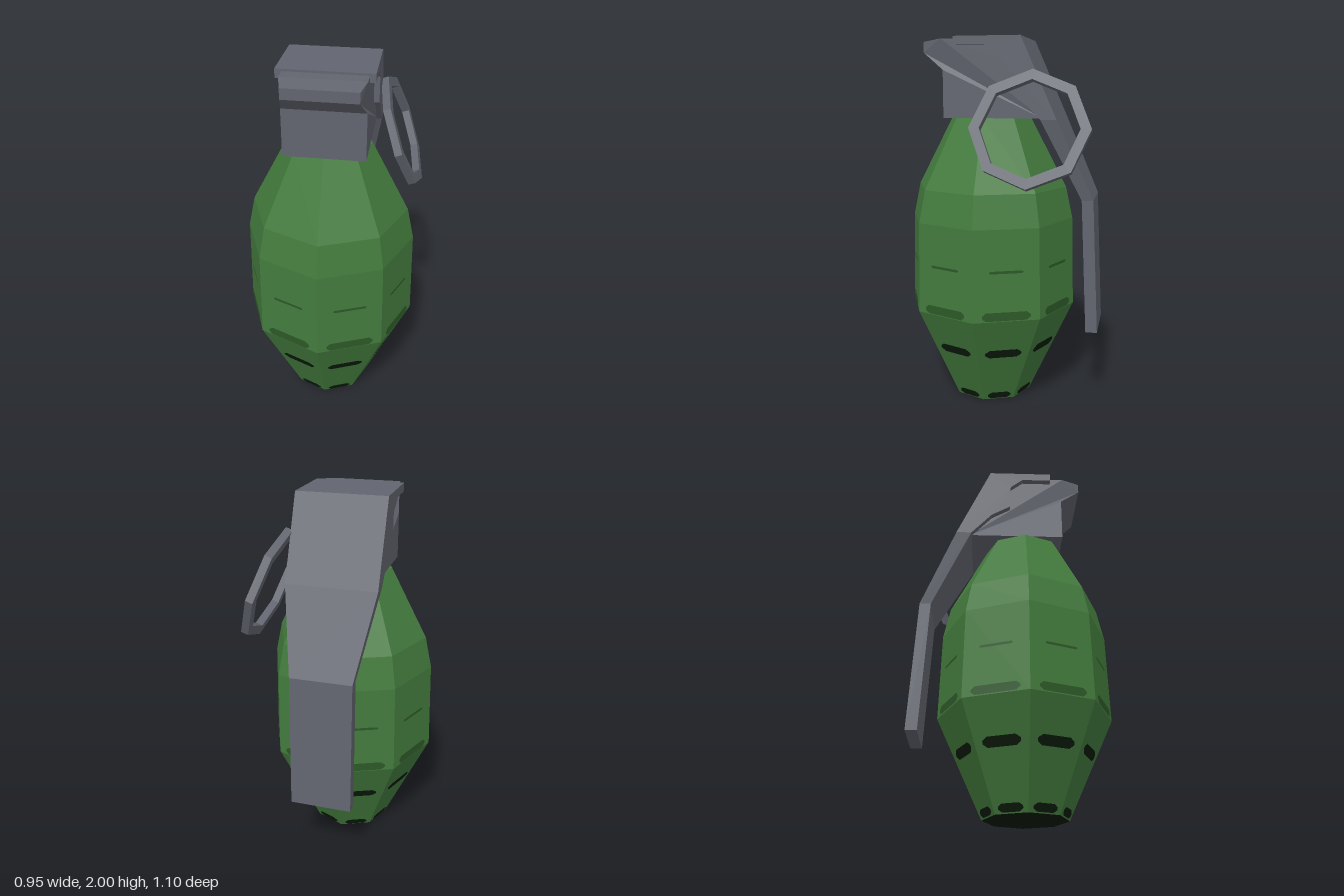
import * as THREE from 'three';

const mat = (name, color) => {
  const m = new THREE.MeshStandardMaterial({ color });
  m.name = name;
  return m;
};

// polygon from [x, y] pairs
const poly = (pts) => new THREE.Shape(pts.map(([x, y]) => new THREE.Vector2(x, y)));

// side profile in [z, y], extruded across x with a half width given by rule(y, z)
function sideExtrude(pts, rule) {
  const geo = new THREE.ExtrudeGeometry(poly(pts.map(([z, y]) => [-z, y])), { depth: 2, bevelEnabled: false });
  geo.translate(0, 0, -1);
  geo.rotateY(Math.PI / 2);
  const p = geo.attributes.position;
  for (let i = 0; i < p.count; i++) {
    // rotation sends the profile's -z axis back onto z
    p.setX(i, Math.sign(p.getX(i)) * rule(p.getY(i), p.getZ(i)));
  }
  geo.computeVertexNormals();
  return geo;
}

export function createModel() {
  const group = new THREE.Group();
  const green = mat('bodyGreen', 0x437b3d);
  const darkGreen = mat('grooveGreen', 0x2c5827);
  const black = mat('deepGrooveGreen', 0x0c1a0a);
  const metal = mat('gunMetal', 0x62656f);

  const add = (name, geo, material, parent = group) => {
    const mesh = new THREE.Mesh(geo, material);
    mesh.name = name;
    parent.add(mesh);
    return mesh;
  };

  // eight-sided body
  const body = new THREE.Group();
  body.name = 'body';
  body.position.set(-0.005, 0, 0.075);
  group.add(body);
  const profile = [[0.225, 0], [0.472, 0.535], [0.46, 1.025], [0.422, 1.2], [0.222, 1.58], [0, 1.6]];
  const shell = new THREE.LatheGeometry(profile.map(([r, y]) => new THREE.Vector2(r, y)), 8).toNonIndexed();
  shell.computeVertexNormals();
  add('bodyShell', shell, green, body);
  add('bodyBase', new THREE.CircleGeometry(0.225, 8).rotateX(Math.PI / 2), black, body);

  // rows of groove marks lying on the facets
  const rows = [
    { y: 0.8, w: 0.18, h: 0.014, m: darkGreen },
    { y: 0.563, w: 0.26, h: 0.046, m: darkGreen },
    { y: 0.322, w: 0.2, h: 0.055, m: black },
    { y: 0.026, w: 0.13, h: 0.044, m: black },
  ];
  const apothem = Math.cos(Math.PI / 8);
  for (const { y, w, h, m } of rows) {
    const [[r0, y0], [r1, y1]] = y < 0.535 ? profile.slice(0, 2) : profile.slice(1, 3);
    const slope = (r1 - r0) / (y1 - y0);
    const a = w / 2, b = h / 2, c = a - h * 0.45;
    const outline = [[a, -b * 0.3], [a, b * 0.3], [c, b], [-c, b], [-a, b * 0.3], [-a, -b * 0.3], [-c, -b], [c, -b]];
    for (let k = 0; k < 8; k++) {
      const geo = new THREE.ShapeGeometry(poly(outline));
      geo.rotateX(Math.atan(slope * apothem));
      geo.translate(0, y, (r0 + slope * (y - y0)) * apothem + 0.003);
      geo.rotateY(Math.PI / 8 + (k * Math.PI) / 4);
      add('grooveMark', geo, m, body);
    }
  }

  // fuze block with the narrowing front lip
  const block = sideExtrude(
    [[0.29, 1.58], [0.29, 1.83], [0.4, 1.92], [0.4, 1.975], [0.3, 1.99], [-0.1, 1.985], [-0.13, 1.85], [-0.245, 1.58]],
    (y, z) => (z > 0.35 ? 0.184 : 0.208)
  );
  add('fuzeBlock', block, metal).position.x = -0.002;

  // lever: wide head with side flanges, then the tapering handle
  const head = sideExtrude(
    [[0.225, 2], [0.225, 1.955], [0.06, 1.955], [-0.01, 1.9], [-0.015, 1.76], [-0.12, 1.7], [-0.235, 1.575], [-0.32, 1.575], [-0.13, 2]],
    () => 0.24
  );
  add('leverHead', head, metal).position.x = -0.005;
  const taper = (y) => 0.165 + 0.075 * Math.max(0, (y - 1.15) / 0.425);
  const handle = new THREE.Group();
  handle.name = 'leverHandle';
  handle.position.x = -0.005;
  group.add(handle);
  add('leverSlope', sideExtrude([[-0.235, 1.575], [-0.45, 1.15], [-0.512, 1.15], [-0.32, 1.575]], taper), metal, handle);
  add('leverGrip', sideExtrude([[-0.45, 1.15], [-0.485, 0.42], [-0.548, 0.42], [-0.512, 1.15]], taper), metal, handle);

  // tilted octagonal pull ring
  const octagon = (r) => Array.from({ length: 8 }, (_, i) => [r * Math.cos((i * Math.PI) / 4), r * Math.sin((i * Math.PI) / 4)]);
  const ringShape = poly(octagon(0.312));
  ringShape.holes.push(poly(octagon(0.257)));
  const ringGeo = new THREE.ExtrudeGeometry(ringShape, { depth: 0.04, bevelEnabled: false });
  ringGeo.translate(0, 0, -0.02);
  ringGeo.rotateY(Math.PI / 2);
  const ring = add('pullRing', ringGeo, metal);
  ring.position.set(0.352, 1.532, -0.2);
  ring.rotation.z = 0.35;

  return group;
}
